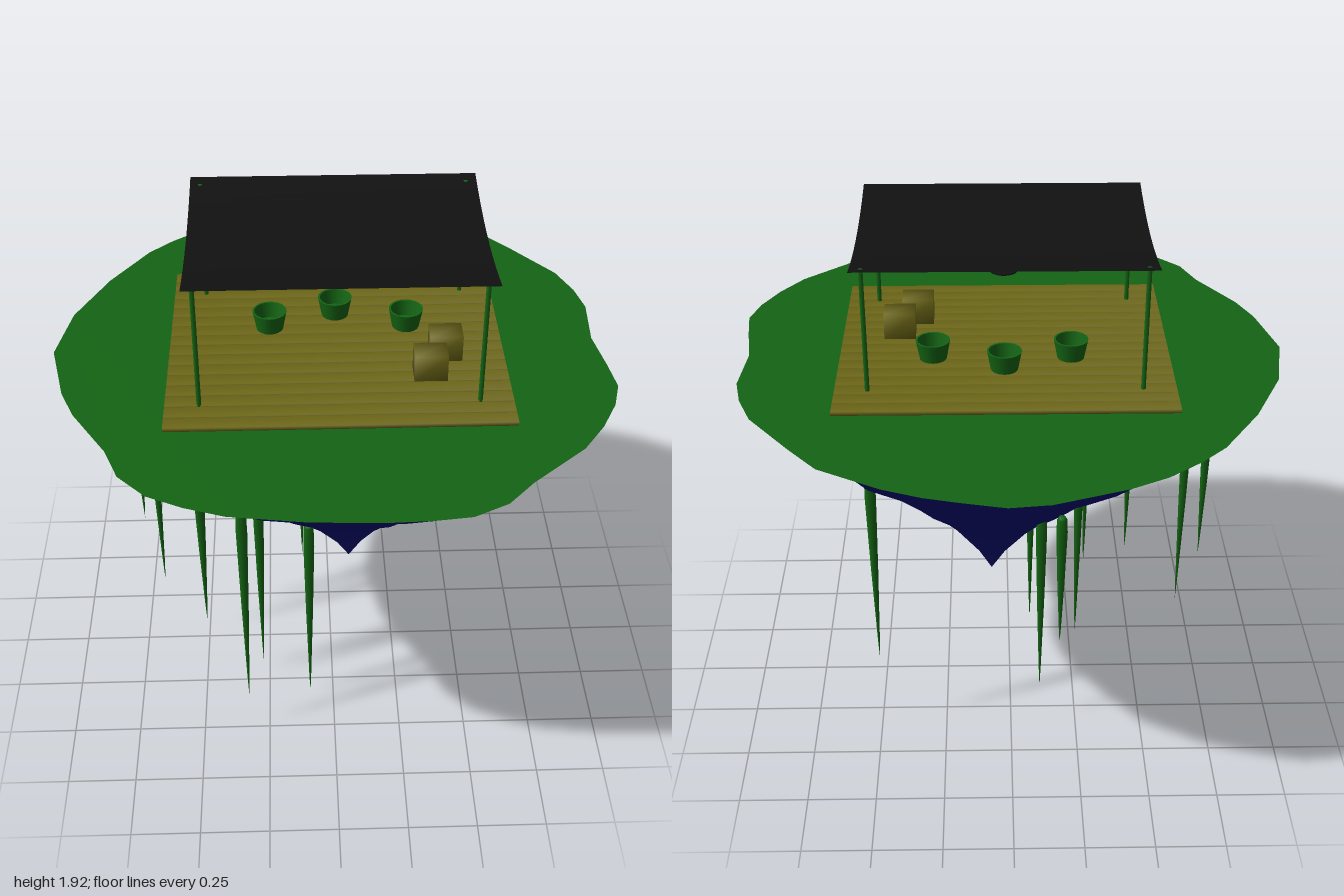
import * as THREE from 'three';
import { mergeVertices } from 'three/addons/utils/BufferGeometryUtils.js';

const material = (color, side = THREE.FrontSide) => new THREE.MeshStandardMaterial({ color, side });
const grass = material(0x146414);
const rock = material(0x0c0c78);
const wood = material(0x6e6818);
const cloth = material(0x111111, THREE.DoubleSide);

// Rim of the island as [x, z], running clockwise seen from above
const rim = [
  [0.02, -1], [0.16, -0.97], [0.28, -0.94], [0.41, -0.89], [0.62, -0.77], [0.72, -0.65],
  [0.87, -0.455], [0.92, -0.33], [0.945, -0.21], [0.93, 0], [0.955, 0.17], [0.97, 0.3],
  [0.94, 0.41], [0.88, 0.53], [0.8, 0.645], [0.61, 0.815], [0.52, 0.915], [0.405, 0.975],
  [0.28, 0.99], [0.135, 0.995], [-0.1, 0.985], [-0.35, 0.95], [-0.48, 0.905], [-0.6, 0.845],
  [-0.695, 0.745], [-0.745, 0.615], [-0.87, 0.41], [-0.92, 0.285], [-0.975, 0.035], [-0.93, -0.21],
  [-0.82, -0.45], [-0.685, -0.66], [-0.6, -0.745], [-0.485, -0.835], [-0.36, -0.9], [-0.115, -0.985],
];
const GROUND = 1.44;
const DECK = 1.463;

function add(parent, name, geometry, mat, x = 0, y = 0, z = 0) {
  const mesh = new THREE.Mesh(geometry, mat);
  mesh.name = name;
  mesh.position.set(x, y, z);
  parent.add(mesh);
  return mesh;
}

function addGroup(parent, name) {
  const group = new THREE.Group();
  group.name = name;
  parent.add(group);
  return group;
}

// Box with shared corners, so its shading is rounded
function softBox(w, h, d) {
  const box = new THREE.BoxGeometry(w, h, d);
  box.deleteAttribute('normal');
  box.deleteAttribute('uv');
  const soft = mergeVertices(box);
  soft.computeVertexNormals();
  return soft;
}

const lathe = (points, sides) =>
  new THREE.LatheGeometry(points.map(([r, y]) => new THREE.Vector2(r, y)), sides);

// Underside: the rim shrinks towards an off-centre tip, [scale, height] per ring
function rockGeometry() {
  const rings = [[1, 1.44], [0.83, 1.325], [0.745, 1.225], [0.57, 1.09], [0.46, 0.99],
    [0.38, 0.91], [0.28, 0.825], [0.17, 0.71], [0.06, 0.57], [0, 0.47]];
  const tip = [0.07, 0.04];
  const n = rim.length;
  const positions = [];
  const index = [];
  rings.forEach(([s, y], r) => {
    rim.forEach(([x, z], i) => {
      positions.push(tip[0] + (x - tip[0]) * s, y, tip[1] + (z - tip[1]) * s);
      if (r === rings.length - 1) return;
      const a = r * n + i;
      const b = r * n + (i + 1) % n;
      index.push(a, b, a + n, b, b + n, a + n);
    });
  });
  const geometry = new THREE.BufferGeometry();
  geometry.setAttribute('position', new THREE.Float32BufferAttribute(positions, 3));
  geometry.setIndex(index);
  geometry.computeVertexNormals();
  return geometry;
}

export function createModel() {
  const model = new THREE.Group();
  model.name = 'floatingIsland';

  // Island
  add(model, 'rockUnderside', rockGeometry(), rock);
  const lawn = new THREE.Shape(rim.map(([x, z]) => new THREE.Vector2(x, -z)));
  add(model, 'lawn', new THREE.ShapeGeometry(lawn).rotateX(-Math.PI / 2), grass, 0, GROUND, 0);

  // Hanging roots: x, z, top, bottom
  const roots = addGroup(model, 'hangingRoots');
  [
    [-0.725, -0.055, 1.25, 0.6], [-0.66, 0.01, 1.21, 0.33], [-0.48, 0.3, 1.11, 0.38],
    [-0.325, 0.49, 1.09, 0.165], [-0.275, 0.175, 0.91, 0.03], [-0.175, -0.47, 1.05, 0.5],
    [-0.11, -0.32, 0.96, 0.165], [-0.09, 0.32, 0.865, 0], [0.495, -0.345, 1.155, 0.33],
  ].forEach(([x, z, top, bottom]) => {
    const h = top - bottom;
    const profile = [[0, 0], [0.004, h * 0.12], [0.013, h * 0.5], [0.02, h * 0.88],
      [0.018, h - 0.01], [0.012, h], [0, h]];
    add(roots, 'root', lathe(profile, 8), grass, x, bottom, z);
  });

  // Deck of planks running sideways
  const deck = addGroup(model, 'deck');
  const planks = 16;
  const pitch = 0.985 / planks;
  const plank = softBox(1.165, 0.015, pitch - 0.007);
  for (let i = 0; i < planks; i++) {
    add(deck, 'plank', plank, wood, 0.0175, DECK - 0.0075, -0.455 + (i + 0.5) * pitch);
  }

  // Canopy posts
  const post = new THREE.CylinderGeometry(0.008, 0.008, 0.47, 8);
  for (const x of [-0.45, 0.487]) {
    for (const z of [-0.307, 0.397]) add(model, 'canopyPost', post, grass, x, GROUND + 0.235, z);
  }

  // Cloth canopy sagging between its front and back edges
  const canopy = new THREE.PlaneGeometry(1.01, 0.775, 1, 12).rotateX(-Math.PI / 2);
  const p = canopy.attributes.position;
  for (let i = 0; i < p.count; i++) p.setY(i, 0.037 * (p.getZ(i) / 0.3875) ** 2);
  canopy.computeVertexNormals();
  add(model, 'canopy', canopy, cloth, 0.02, 1.88, 0.0375);

  // Hanging lamp
  const lamp = addGroup(model, 'hangingLamp');
  add(lamp, 'lampCord', new THREE.CylinderGeometry(0.0015, 0.0015, 0.135, 6), cloth, 0.02, 1.8145, 0.045);
  add(lamp, 'lampDisc', new THREE.CylinderGeometry(0.05, 0.05, 0.004, 24), cloth, 0.02, 1.747, 0.045);

  // Open pots with a wall and an inner floor
  const pot = lathe([[0, 0], [0.048, 0], [0.048, 0], [0.061, 0.07], [0.061, 0.07], [0.054, 0.07],
    [0.054, 0.07], [0.044, 0.015], [0.044, 0.015], [0, 0.015]], 20);
  for (const [x, z] of [[-0.215, -0.07], [0.02, -0.155], [0.27, -0.07]]) {
    add(model, 'pot', pot, grass, x, DECK, z);
  }

  // Crates
  const crate = softBox(0.113, 0.097, 0.09);
  for (const [x, z] of [[0.332, 0.24], [0.394, 0.12]]) {
    add(model, 'crate', crate, wood, x, DECK + 0.0485, z);
  }

  return model;
}
